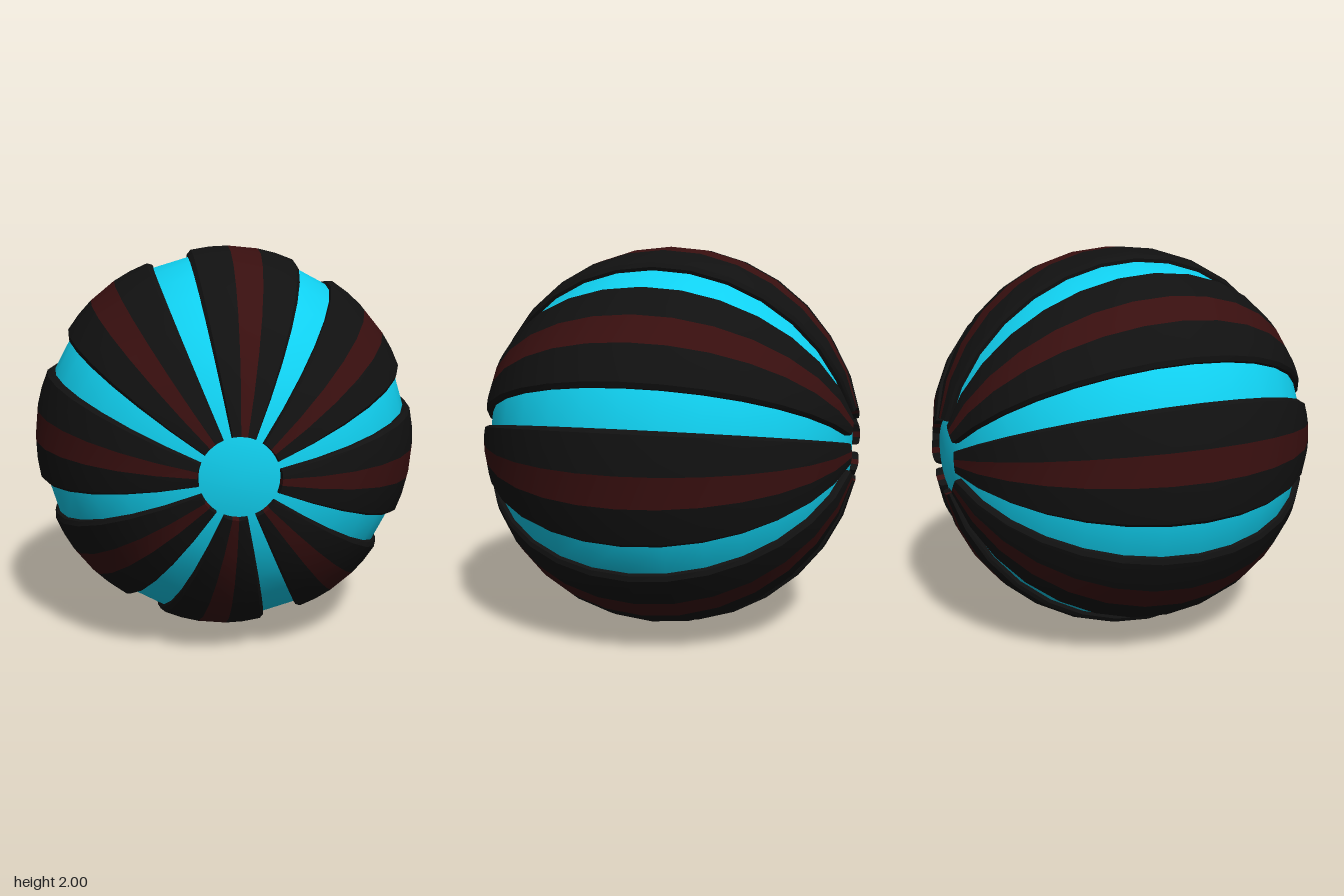
import * as THREE from 'three';
import { toCreasedNormals } from 'three/addons/utils/BufferGeometryUtils.js';

const PANELS = 8;
const STEPS = 14;          // bands from pole opening to pole opening
const BAND = Math.PI / 16; // 11.25 degrees
const INNER = 0.95;        // depth the panels reach down to

// Sweeps a cross-section of [angle in degrees, radius] from pole to pole around the z axis.
// The first and last rows drop inward to close the ends.
function sweptPanel(profile, centre) {
  const positions = [];
  const index = [];
  const rows = [];
  for (let i = 0; i <= STEPS; i++) rows.push({ t: BAND * (i + 1), drop: false });
  rows.unshift({ t: BAND, drop: true });
  rows.push({ t: BAND * (STEPS + 1), drop: true });

  for (const { t, drop } of rows) {
    for (const [deg, radius] of profile) {
      const a = THREE.MathUtils.degToRad(centre + deg);
      const r = drop ? INNER : radius;
      positions.push(r * Math.sin(t) * Math.cos(a), r * Math.sin(t) * Math.sin(a), r * Math.cos(t));
    }
  }
  const n = profile.length;
  for (let i = 0; i < rows.length - 1; i++) {
    for (let j = 0; j < n - 1; j++) {
      const a = i * n + j;
      const b = a + n;
      index.push(a, b, b + 1, a, b + 1, a + 1);
    }
  }
  const geometry = new THREE.BufferGeometry();
  geometry.setAttribute('position', new THREE.Float32BufferAttribute(positions, 3));
  geometry.setIndex(index);
  return toCreasedNormals(geometry, 0.4);
}

export function createModel() {
  const model = new THREE.Group();
  model.name = 'stripedBall';
  const cyan = new THREE.MeshStandardMaterial({ color: 0x10d0f0 });
  const black = new THREE.MeshStandardMaterial({ color: 0x111111 });
  const red = new THREE.MeshStandardMaterial({ color: 0x380f0f });

  const ball = new THREE.Group();
  ball.name = 'ball';
  ball.position.y = 1;
  model.add(ball);

  const add = (name, geometry, material, parent) => {
    const mesh = new THREE.Mesh(geometry, material);
    mesh.name = name;
    parent.add(mesh);
  };

  // Inner core, with its poles at front and back
  add('core', new THREE.SphereGeometry(0.96, 32, 16).rotateX(Math.PI / 2), cyan, ball);

  // Raised panels: bevelled black sides with a red stripe between
  const side = [[-16.875, INNER], [-16.875, 0.978], [-15.6, 0.994], [-10, 0.998], [-4.5, 1]];
  const otherSide = side.map(([deg, r]) => [-deg, r]).reverse();
  const stripe = [[-4.5, 1], [4.5, 1]];
  for (let k = 0; k < PANELS; k++) {
    const centre = -5.625 + (k * 360) / PANELS;
    const panel = new THREE.Group();
    panel.name = 'panel' + (k + 1);
    add('panelSideA', sweptPanel(side, centre), black, panel);
    add('panelSideB', sweptPanel(otherSide, centre), black, panel);
    add('redStripe', sweptPanel(stripe, centre), red, panel);
    ball.add(panel);
  }
  return model;
}
